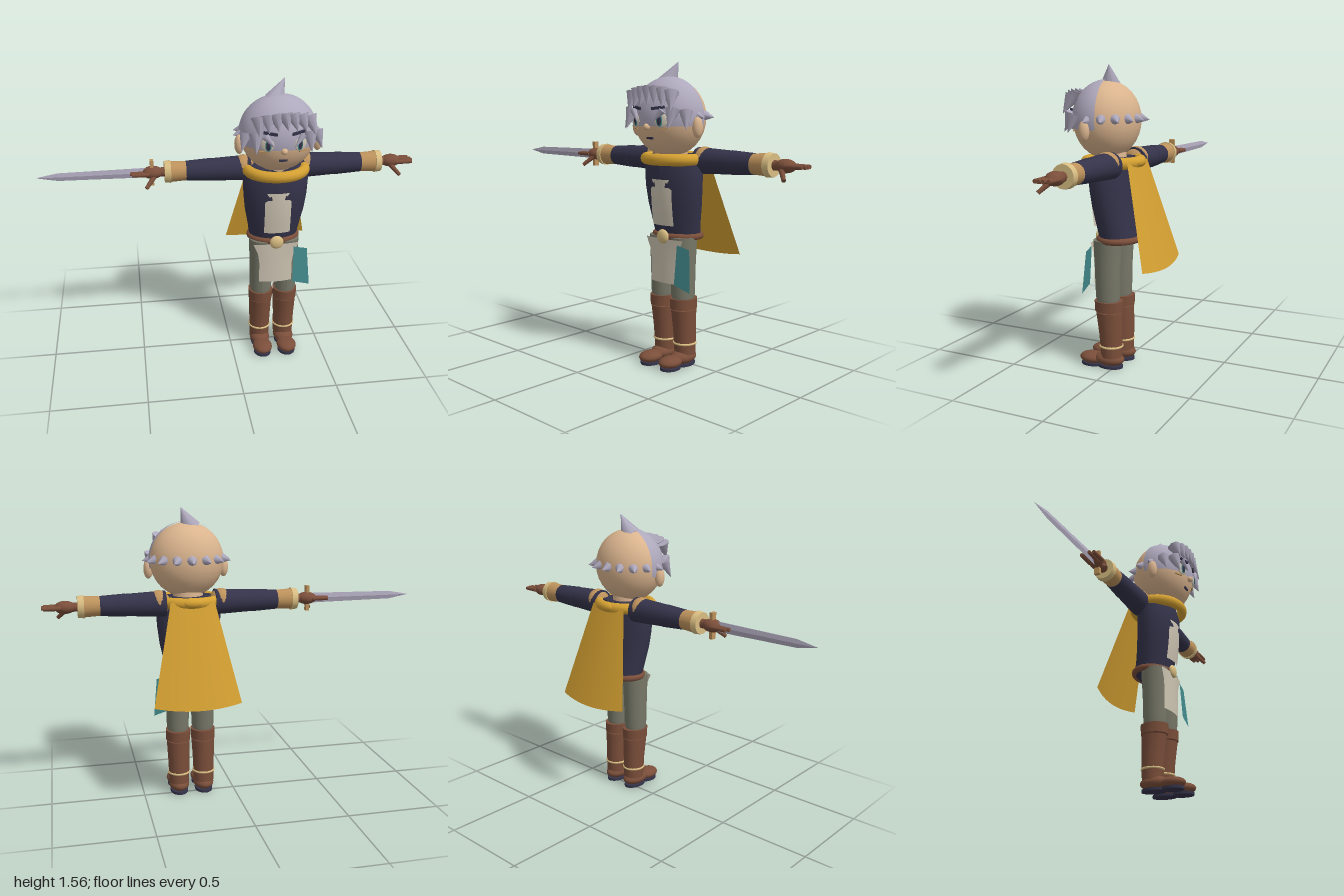
import * as THREE from 'three';

const mat = (name, color, opts = {}) => {
  const m = new THREE.MeshStandardMaterial({ color, ...opts });
  m.name = name;
  return m;
};
const V = (x, y, z) => new THREE.Vector3(x, y, z);

export function createModel() {
  const M = {
    hair: mat('hairAndSteel', 0xaea8bc),
    skin: mat('skin', 0xdab48e),
    navy: mat('navyCloth', 0x34334a),
    gold: mat('goldCloth', 0xd4a032, { side: THREE.DoubleSide }),
    brown: mat('leather', 0x7a4e3a),
    tan: mat('tanLeather', 0xbd925c),
    cream: mat('creamCloth', 0xcdc4b2, { side: THREE.DoubleSide }),
    pants: mat('trouserCloth', 0x777868),
    teal: mat('tealCloth', 0x42898b, { side: THREE.DoubleSide }),
    brass: mat('paleBrass', 0xd8bd82),
  };
  const model = new THREE.Group();
  const body = new THREE.Group();
  body.name = 'figure';
  body.position.x = 0.235;
  model.add(body);

  const add = (name, geo, material, x = 0, y = 0, z = 0, parent = body) => {
    const m = new THREE.Mesh(geo, material);
    m.name = name;
    m.position.set(x, y, z);
    parent.add(m);
    return m;
  };
  const ball = (name, material, p, r) =>
    add(name, new THREE.SphereGeometry(1, 24, 16).scale(...r), material, ...p);
  // tapered rod from a to b
  const rod = (name, material, a, b, r0, r1, sides = 20) => {
    const d = b.clone().sub(a);
    const m = add(name, new THREE.CylinderGeometry(r1, r0, d.length(), sides), material);
    m.position.copy(a).add(b).multiplyScalar(0.5);
    m.quaternion.setFromUnitVectors(V(0, 1, 0), d.normalize());
    return m;
  };
  const spike = (name, a, b, r) => rod(name, M.hair, a, b, r, 0.001, 8);
  const ring = (name, material, p, rx, rz, tube) => {
    const g = new THREE.TorusGeometry(1, tube / rx, 12, 40).rotateX(Math.PI / 2);
    g.scale(rx, rx, rz);
    return add(name, g, material, ...p);
  };
  // lofted elliptical body, rows of [y, centreZ, rx, rz] from the bottom up
  const loft = (name, material, rows, x = 0) => {
    const g = new THREE.CylinderGeometry(1, 1, 1, 28, rows.length - 1);
    const p = g.attributes.position;
    for (let i = 0; i < p.count; i++) {
      const [y, cz, rx, rz] = rows[Math.round((p.getY(i) + 0.5) * (rows.length - 1))];
      p.setXYZ(i, p.getX(i) * rx, y, cz + p.getZ(i) * rz);
    }
    g.computeVertexNormals();
    return add(name, g, material, x);
  };
  // bent sheet given by a rule (u, v) -> [x, y, z]
  const sheet = (name, material, rule, nu = 12, nv = 4) => {
    const g = new THREE.PlaneGeometry(1, 1, nu, nv);
    const p = g.attributes.position;
    for (let i = 0; i < p.count; i++) p.setXYZ(i, ...rule(p.getX(i) * 2, 0.5 - p.getY(i)));
    g.computeVertexNormals();
    return add(name, g, material);
  };

  // head and hair cap: low at the back, high over the forehead
  const cy = 1.285, cz = 0.067;
  ball('head', M.skin, [0, cy, cz], [0.197, 0.197, 0.167]);
  const cap = (name, start, low) => add(name,
    new THREE.SphereGeometry(1, 20, 14, start, Math.PI * (start ? 0.9 : 1.1), 0, Math.acos(low)).scale(0.203, 0.203, 0.173),
    M.hair, 0, cy, cz);
  const arc = (name, a, len, low) => add(name,
    new THREE.SphereGeometry(1, 24, 14, a, len, 0, Math.acos(low)).scale(0.203, 0.203, 0.173), M.hair, 0, cy, cz);
  arc('backHair', Math.PI * 0.94, Math.PI * 1.12, -0.2).rotation.y = Math.PI;
  arc('foreheadHair', 0, Math.PI, 0.36);

  // curved crown tuft
  spike('crownTuft', V(-0.02, 1.455, 0.06), V(0.033, 1.56, 0.04), 0.055);
  // outward spikes round the back
  for (let i = 0; i < 9; i++) {
    const a = Math.PI * (0.98 + i * 0.13);
    const c = Math.cos(a), s = Math.sin(a);
    spike('backSpike', V(c * 0.185, 1.295, cz + s * 0.16), V(c * 0.235, 1.285, cz + s * 0.208), 0.028);
  }
  // fringe row
  for (let i = 0; i < 7; i++) {
    const t = i / 3 - 1;
    spike('fringeLock', V(t * 0.125, 1.425 - 0.02 * t * t, 0.215 - 0.02 * t * t),
      V(t * 0.14 + 0.015, 1.35 - 0.03 * t * t, 0.25 - 0.015 * t * t), 0.04);
  }

  // face and side locks
  for (const s of [-1, 1]) {
    spike('sideLock', V(s * 0.135, 1.325, 0.195), V(s * 0.14, 1.23, 0.235), 0.038);
    spike('templeLock', V(s * 0.18, 1.315, 0.15), V(s * 0.205, 1.23, 0.18), 0.034);
    spike('innerLock', V(s * 0.095, 1.32, 0.225), V(s * 0.05, 1.265, 0.25), 0.02);
    ball('ear', M.skin, [s * 0.203, 1.24, 0.09], [0.025, 0.052, 0.028]);
    ball('eye', M.cream, [s * 0.083, 1.272, 0.222], [0.034, 0.036, 0.008]).rotation.y = s * 0.38;
    ball('iris', M.teal, [s * 0.08, 1.272, 0.229], [0.017, 0.029, 0.005]).rotation.y = s * 0.38;
    ball('pupil', M.navy, [s * 0.08, 1.272, 0.232], [0.011, 0.023, 0.005]).rotation.y = s * 0.38;
    const brow = add('brow', new THREE.BoxGeometry(0.07, 0.014, 0.009), M.navy, s * 0.07, 1.333, 0.23);
    brow.rotation.set(0, s * 0.33, s * 0.12);
    const cheek = add('cheekMark', new THREE.BoxGeometry(0.045, 0.007, 0.008), M.tan, s * 0.1, 1.232, 0.207);
    cheek.rotation.y = s * 0.5;
  }
  ball('nose', M.skin, [0, 1.24, 0.235], [0.017, 0.017, 0.017]);
  add('mouth', new THREE.BoxGeometry(0.042, 0.011, 0.008), M.navy, 0, 1.185, 0.211);

  // neck, torso, scarf and belt
  rod('neck', M.skin, V(0, 1.03, 0.04), V(0, 1.12, 0.05), 0.08, 0.08);
  loft('torso', M.navy, [[0.67, -0.005, 0.128, 0.098], [0.76, 0.012, 0.142, 0.1], [0.85, 0.025, 0.16, 0.104],
    [0.94, 0.034, 0.17, 0.108], [1.03, 0.035, 0.175, 0.106], [1.1, 0.03, 0.15, 0.095]]);
  ring('scarf', M.gold, [0, 1.077, 0.033], 0.15, 0.135, 0.03);
  ball('capeKnot', M.gold, [0, 1.08, -0.105], [0.06, 0.028, 0.03]);
  ring('belt', M.brown, [0, 0.682, -0.002], 0.128, 0.103, 0.017);
  ball('buckle', M.brass, [0, 0.682, 0.115], [0.037, 0.037, 0.018]);

  // cloth panels
  sheet('chestPanel', M.cream, (u, v) => {
    const y = 0.975 - 0.235 * v;
    return [u * 0.07, y, 0.143 - 0.02 * v * v - 0.012 * u * u];
  });
  sheet('loinCloth', M.cream, (u, v) =>
    [u * (0.125 - 0.035 * Math.min(1, v * 3)), 0.67 - 0.23 * v, 0.116 - 0.012 * u * u - 0.002 * v]);
  sheet('tealSash', M.teal, (u, v) => {
    const k = (u + 1) / 2;
    return [0.095 + 0.075 * k + v * (0.022 * k - 0.005), 0.648 - 0.018 * k - v * (0.205 + 0.01 * k), 0.114 + 0.016 * v - 0.008 * k];
  }, 2, 2);
  // flared cape, bowed backwards
  sheet('cape', M.gold, (u, v) => {
    const bow = 1 - u * u;
    return [u * (0.115 + 0.113 * v), 1.085 - 0.515 * v - 0.02 * v * bow,
      -0.1 - 0.135 * v - 0.03 * bow * (0.3 + 0.7 * v)];
  }, 16, 6);

  // legs, boots and shoes
  for (const s of [-1, 1]) {
    const x = s * 0.069;
    loft('trouserLeg', M.pants, [[0.34, 0.035, 0.052, 0.055], [0.38, 0.035, 0.06, 0.064], [0.53, 0.036, 0.063, 0.068],
      [0.68, 0.035, 0.068, 0.075]], x);
    loft('boot', M.brown, [[0.06, 0.016, 0.055, 0.056], [0.18, 0.02, 0.058, 0.062], [0.3, 0.029, 0.063, 0.07]], x);
    loft('bootCuff', M.brown, [[0.305, 0.03, 0.066, 0.074], [0.36, 0.031, 0.067, 0.076]], x);
    ring('ankleBand', M.brass, [x, 0.118, 0.018], 0.056, 0.058, 0.006);
    ball('shoeHeel', M.brown, [x, 0.044, 0.03], [0.056, 0.037, 0.083]);
    ball('shoeToe', M.brown, [x, 0.037, 0.13], [0.054, 0.03, 0.07]);
    for (const [z, r] of [[0.025, 0.07], [0.13, 0.06]])
      add('sole', new THREE.CylinderGeometry(1, 1, 0.014, 24).scale(0.048, 1, r), M.navy, x, 0.007, z);
  }

  // arms, cuffs and gloved hands
  for (const s of [-1, 1]) {
    const y = 1.07, z = -0.015;
    const seg = (name, m, a, b, r0, r1) => rod(name, m, V(s * a, y, z), V(s * b, y, z), r0, r1);
    ball('shoulder', M.tan, [s * 0.165, 1.075, z], [0.06, 0.066, 0.066]);
    seg('upperSleeve', M.navy, 0.13, 0.34, 0.068, 0.058);
    seg('lowerSleeve', M.navy, 0.335, 0.468, 0.06, 0.052);
    seg('forearmGuard', M.tan, 0.462, 0.56, 0.05, 0.056);
    seg('cuff', M.brass, 0.548, 0.58, 0.06, 0.056);
    seg('wrist', M.brown, 0.56, 0.63, 0.024, 0.024);
    ball('palm', M.brown, [s * 0.642, y, z], [0.054, 0.033, 0.042]);
    for (let i = 0; i < 4; i++) {
      const fz = z + (i - 1.5) * 0.023;
      const tip = 0.762 - 0.008 * Math.abs(i - 1.5);
      rod('finger', M.brown, V(s * 0.66, y, fz), V(s * tip, y, fz), 0.012, 0.01, 10);
    }
    rod('thumb', M.brown, V(s * 0.635, 1.055, 0.01), V(s * 0.678, 1.008, 0.052), 0.014, 0.01, 10);
  }

  // sword in the right hand: grip, guard and a diamond-section blade
  const sword = new THREE.Group();
  sword.name = 'sword';
  sword.position.set(0, 1.07, -0.015);
  model.add(sword);
  add('grip', new THREE.CylinderGeometry(0.013, 0.013, 0.1, 12).rotateZ(Math.PI / 2), M.brown, -0.37, 0, 0, sword);
  add('guard', new THREE.BoxGeometry(0.018, 0.136, 0.03), M.tan, -0.41, 0, 0, sword);
  const blade = new THREE.CylinderGeometry(1, 1, 1, 4, 2).toNonIndexed();
  const stations = [[-0.41, 0.027, 0.006], [-0.89, 0.021, 0.005], [-1, 0.0008, 0.0005]];
  const p = blade.attributes.position;
  for (let i = 0; i < p.count; i++) {
    const [x, h, d] = stations[Math.round((p.getY(i) + 0.5) * 2)];
    p.setXYZ(i, x, p.getX(i) * h, p.getZ(i) * d);
  }
  blade.computeVertexNormals();
  add('blade', blade, M.hair, 0, 0, 0, sword);

  return model;
}
